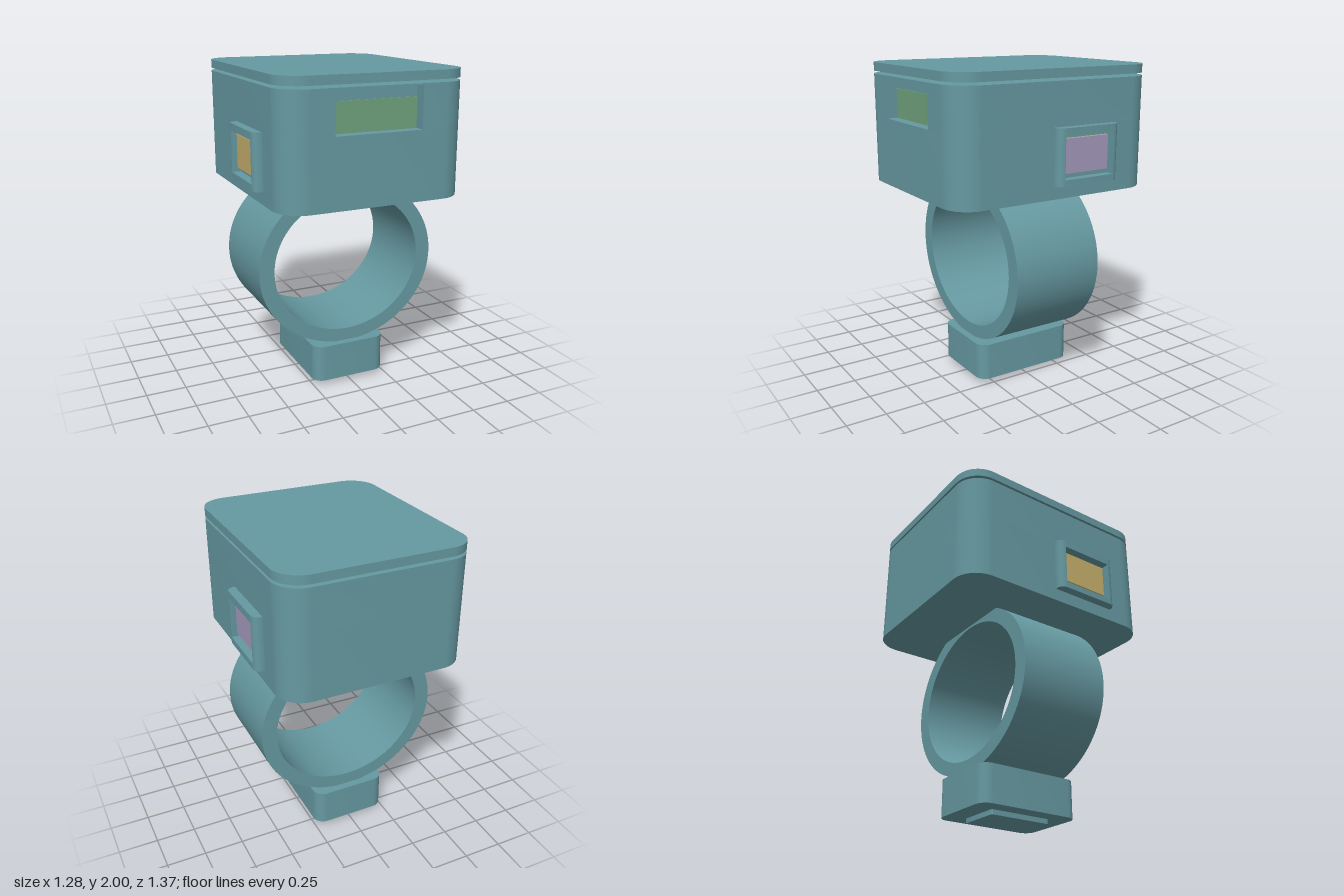
import * as THREE from 'three';
import { toCreasedNormals } from 'three/addons/utils/BufferGeometryUtils.js';

const mat = (name, color) => {
  const m = new THREE.MeshStandardMaterial({ color });
  m.name = name;
  return m;
};

// Extrudes a plan outline (x, -z) upward from y0 to y1
function layer(shape, y0, y1) {
  const geo = new THREE.ExtrudeGeometry(shape, { depth: y1 - y0, bevelEnabled: false, curveSegments: 12 });
  geo.rotateX(-Math.PI / 2).translate(0, y0, 0);
  return toCreasedNormals(geo, 0.5);
}

// Rounded rectangle plan; an optional notch { x0, x1, depth } cuts into its front edge
function roundedPlan(w, d, r, notch) {
  const s = new THREE.Shape();
  s.moveTo(-w + r, -d);
  if (notch) {
    s.lineTo(notch.x0, -d);
    s.lineTo(notch.x0, -d + notch.depth);
    s.lineTo(notch.x1, -d + notch.depth);
    s.lineTo(notch.x1, -d);
  }
  s.lineTo(w - r, -d);
  s.absarc(w - r, -d + r, r, -Math.PI / 2, 0);
  s.lineTo(w, d - r);
  s.absarc(w - r, d - r, r, 0, Math.PI / 2);
  s.lineTo(-w + r, d);
  s.absarc(-w + r, d - r, r, Math.PI / 2, Math.PI);
  s.lineTo(-w, -d + r);
  s.absarc(-w + r, -d + r, r, Math.PI, Math.PI * 1.5);
  return s;
}

// Plan of a side window frame, rounded on its outer corners, optionally opened
function framePlan(open) {
  const inner = 0.57, outer = 0.64, r = 0.045, a = -0.05, b = 0.39;
  const s = new THREE.Shape();
  s.moveTo(inner, a);
  s.lineTo(outer - r, a);
  s.absarc(outer - r, a + r, r, -Math.PI / 2, 0);
  if (open) {
    s.lineTo(0.58, a + r);
    s.lineTo(0.58, b - r);
  }
  s.lineTo(outer, b - r);
  s.absarc(outer - r, b - r, r, 0, Math.PI / 2);
  s.lineTo(inner, b);
  return s;
}

export function createModel() {
  const model = new THREE.Group();
  const teal = mat('teal shell', 0x6699a1);
  const green = mat('green display', 0x70a17d);
  const purple = mat('purple sensor', 0xa59bbd);
  const ochre = mat('ochre sensor', 0xc4ae6c);

  const add = (parent, name, geo, material) => {
    const mesh = new THREE.Mesh(geo, material);
    mesh.name = name;
    parent.add(mesh);
    return mesh;
  };
  const box = (parent, name, material, [w, h, d], [x, y, z]) =>
    add(parent, name, new THREE.BoxGeometry(w, h, d).translate(x, y, z), material);

  // Main housing with a display slot near the top of its front
  const housing = new THREE.Group();
  housing.name = 'housing';
  model.add(housing);
  const plan = roundedPlan(0.585, 0.685, 0.165);
  const notched = roundedPlan(0.585, 0.685, 0.165, { x0: -0.275, x1: 0.27, depth: 0.075 });
  add(housing, 'housingLower', layer(plan, 1.25, 1.67), teal);
  add(housing, 'housingSlot', layer(notched, 1.67, 1.92), teal);
  add(housing, 'housingRim', layer(plan, 1.92, 1.93), teal);
  box(housing, 'display', green, [0.545, 0.18, 0.008], [-0.0025, 1.76, 0.613]);

  // Lid floating just above the housing
  add(model, 'lid', layer(plan, 1.947, 2), teal);

  // Side windows, the left one turned half a circle from the right
  const sideWindow = (name, sensor, turn) => {
    const g = new THREE.Group();
    g.name = name;
    add(g, 'frameBottom', layer(framePlan(false), 1.33, 1.37), teal);
    add(g, 'frameSides', layer(framePlan(true), 1.37, 1.625), teal);
    add(g, 'frameTop', layer(framePlan(false), 1.625, 1.67), teal);
    box(g, 'sensor', sensor, [0.025, 0.205, 0.31], [0.5975, 1.5025, -0.17]);
    box(g, 'boardEdge', green, [0.008, 0.012, 0.34], [0.586, 1.613, -0.17]);
    g.rotation.y = turn;
    model.add(g);
  };
  sideWindow('rightFacingWindow', purple, 0);
  sideWindow('oppositeWindow', ochre, Math.PI);

  // Finger ring: a slightly flattened band
  const band = new THREE.Shape().absellipse(0, 0, 0.59, 0.53, 0, Math.PI * 2);
  band.holes.push(new THREE.Path().absellipse(0, 0, 0.493, 0.445, 0, Math.PI * 2));
  const ringGeo = new THREE.ExtrudeGeometry(band, { depth: 0.59, bevelEnabled: false, curveSegments: 48 });
  ringGeo.translate(0, 0.79, -0.295);
  add(model, 'ring', toCreasedNormals(ringGeo, 0.5), teal);

  // Small block under the ring and its foot plate
  add(model, 'lowerBlock', layer(roundedPlan(0.245, 0.342, 0.07), 0.03, 0.265), teal);
  add(model, 'footPlate', layer(roundedPlan(0.14, 0.208, 0.015), 0, 0.03), teal);

  return model;
}
